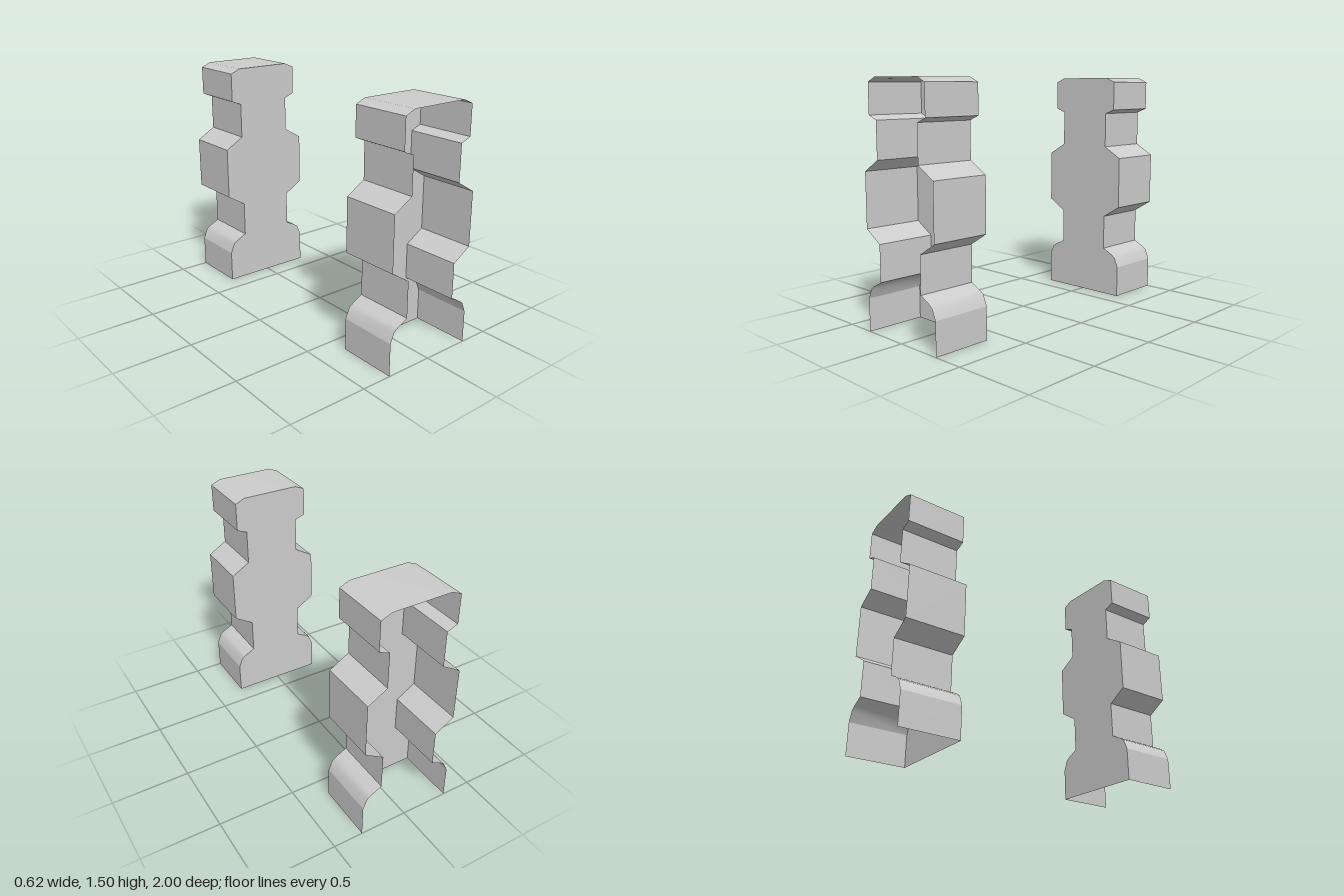
import * as THREE from 'three';

const INNER = 0.622, OUTER = 1;
const material = new THREE.MeshStandardMaterial({ color: 0xcccccc, side: THREE.DoubleSide });

// Half profile on +x from bottom to top, split where the edges are sharp
const sideStrips = {
  baseWall: [[0.308, 0], [0.308, 0.204]],
  baseShoulder: [[0.308, 0.204], [0.281, 0.269], [0.253, 0.289], [0.186, 0.323]],
  lowerNeck: [[0.186, 0.323], [0.186, 0.55]],
  bellyUnderside: [[0.186, 0.55], [0.308, 0.625]],
  bellyWall: [[0.308, 0.625], [0.308, 0.964]],
  bellyShoulder: [[0.308, 0.964], [0.186, 1.037]],
  upperNeck: [[0.186, 1.037], [0.186, 1.264]],
  headUnderside: [[0.186, 1.264], [0.253, 1.291]],
  headWall: [[0.253, 1.291], [0.253, 1.477]],
};
const headTop = [[0.253, 1.477], [0.189, 1.505], [-0.189, 1.505], [-0.253, 1.477]];

const mirror = (points) => points.map(([x, y]) => [-x, y]).reverse();

// Smooth ribbon following the points, running from the inner to the outer end
function ribbon(name, points) {
  const positions = [], index = [];
  points.forEach(([x, y], i) => {
    positions.push(x, y, INNER, x, y, OUTER);
    if (i > 0) {
      const a = 2 * (i - 1);
      index.push(a, a + 2, a + 1, a + 2, a + 3, a + 1);
    }
  });
  const geometry = new THREE.BufferGeometry();
  geometry.setAttribute('position', new THREE.Float32BufferAttribute(positions, 3));
  geometry.setIndex(index);
  geometry.computeVertexNormals();
  const mesh = new THREE.Mesh(geometry, material);
  mesh.name = name;
  return mesh;
}

// Shell closed at its inner end, open at its outer end and underneath
function makeShell(name) {
  const shell = new THREE.Group();
  shell.name = name;
  for (const [part, points] of Object.entries(sideStrips)) {
    shell.add(ribbon(part + 'Left', points), ribbon(part + 'Right', mirror(points)));
  }
  shell.add(ribbon('headTop', headTop));

  // Flat plate with the full outline
  const half = Object.values(sideStrips).flatMap((p) => p.slice(0, -1));
  half.push(headTop[0], headTop[1]);
  const outline = [...half, ...mirror(half)].map(([x, y]) => new THREE.Vector2(x, y));
  const plate = new THREE.Mesh(new THREE.ShapeGeometry(new THREE.Shape(outline)), material);
  plate.name = 'endPlate';
  plate.rotation.y = Math.PI;
  plate.position.z = INNER;
  shell.add(plate);
  return shell;
}

export function createModel() {
  const model = new THREE.Group();
  model.name = 'shellPair';
  const back = makeShell('backShell');
  back.rotation.y = Math.PI;
  model.add(makeShell('frontShell'), back);
  return model;
}
